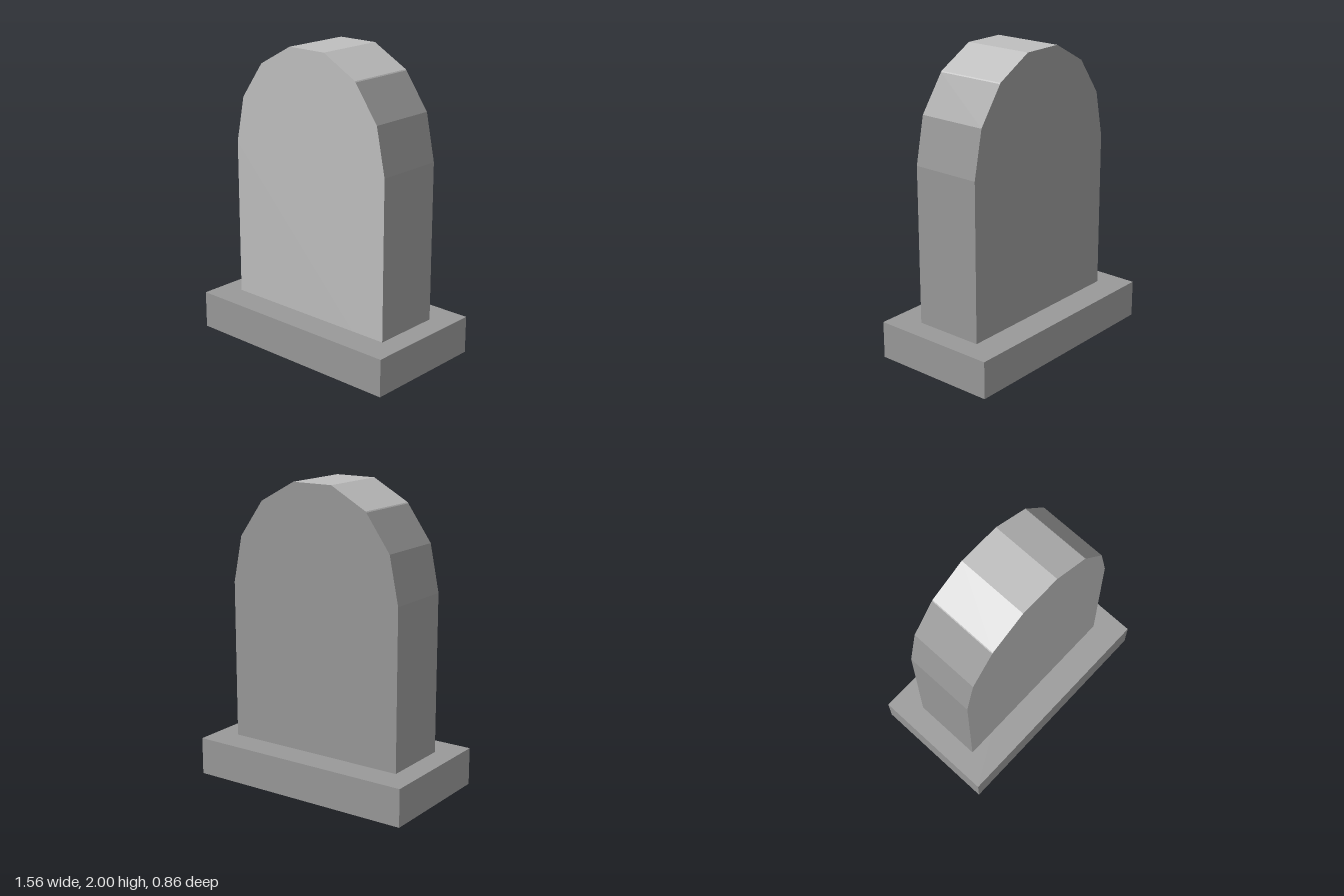
import * as THREE from 'three';

const DEPTH = 0.475;

// Open strip of flat facets running front to back along an outline (clockwise seen from +z)
function rim(points) {
  const pos = [];
  const f = DEPTH / 2;
  for (let i = 0; i < points.length - 1; i++) {
    const [ax, ay] = points[i], [bx, by] = points[i + 1];
    pos.push(ax, ay, f, bx, by, f, bx, by, -f);
    pos.push(ax, ay, f, bx, by, -f, ax, ay, -f);
  }
  const g = new THREE.BufferGeometry();
  g.setAttribute('position', new THREE.Float32BufferAttribute(pos, 3));
  g.computeVertexNormals();
  return g;
}

export function createModel() {
  const stone = new THREE.MeshStandardMaterial({ color: 0x999999, side: THREE.DoubleSide });
  stone.name = 'stone';
  const paleStone = new THREE.MeshStandardMaterial({ color: 0xbebebe, side: THREE.DoubleSide });
  paleStone.name = 'paleStone';

  const group = new THREE.Group();
  group.name = 'headstone';
  const add = (name, geometry, material, parent = group) => {
    const mesh = new THREE.Mesh(geometry, material);
    mesh.name = name;
    parent.add(mesh);
    return mesh;
  };

  // Plinth: a box with no underside
  const plinth = new THREE.BoxGeometry(1.564, 0.25, 0.864);
  const index = Array.from(plinth.index.array);
  index.splice(18, 6);
  plinth.setIndex(index);
  plinth.clearGroups();
  add('plinth', plinth, stone).position.y = 0.125;

  // Slab outline: straight sides and a faceted arch
  const side = [[-0.632, 0], [-0.632, 1.31], [-0.568, 1.62], [-0.4, 1.855]];
  const crown = [[-0.4, 1.855], [-0.395, 1.862], [-0.143, 2]];
  const mirror = (pts) => pts.map(([x, y]) => [-x, y]).reverse();
  const arch = [...crown, ...mirror(crown)];
  const outline = [...side, ...arch.slice(1, -1), ...mirror(side)];
  const face = new THREE.ShapeGeometry(
    new THREE.Shape(outline.map(([x, y]) => new THREE.Vector2(x, y))));

  const slab = new THREE.Group();
  slab.name = 'slab';
  group.add(slab);
  add('slabFront', face, paleStone, slab).position.z = DEPTH / 2;
  const back = add('slabBack', face, stone, slab);
  back.rotation.y = Math.PI;
  back.position.z = -DEPTH / 2;
  add('slabCrown', rim(arch), paleStone, slab);
  add('slabRightSide', rim(side), stone, slab);
  add('slabLeftSide', rim(mirror(side)), stone, slab);
  add('slabUnderside', rim([[0.632, 0], [-0.632, 0]]), stone, slab);

  return group;
}
